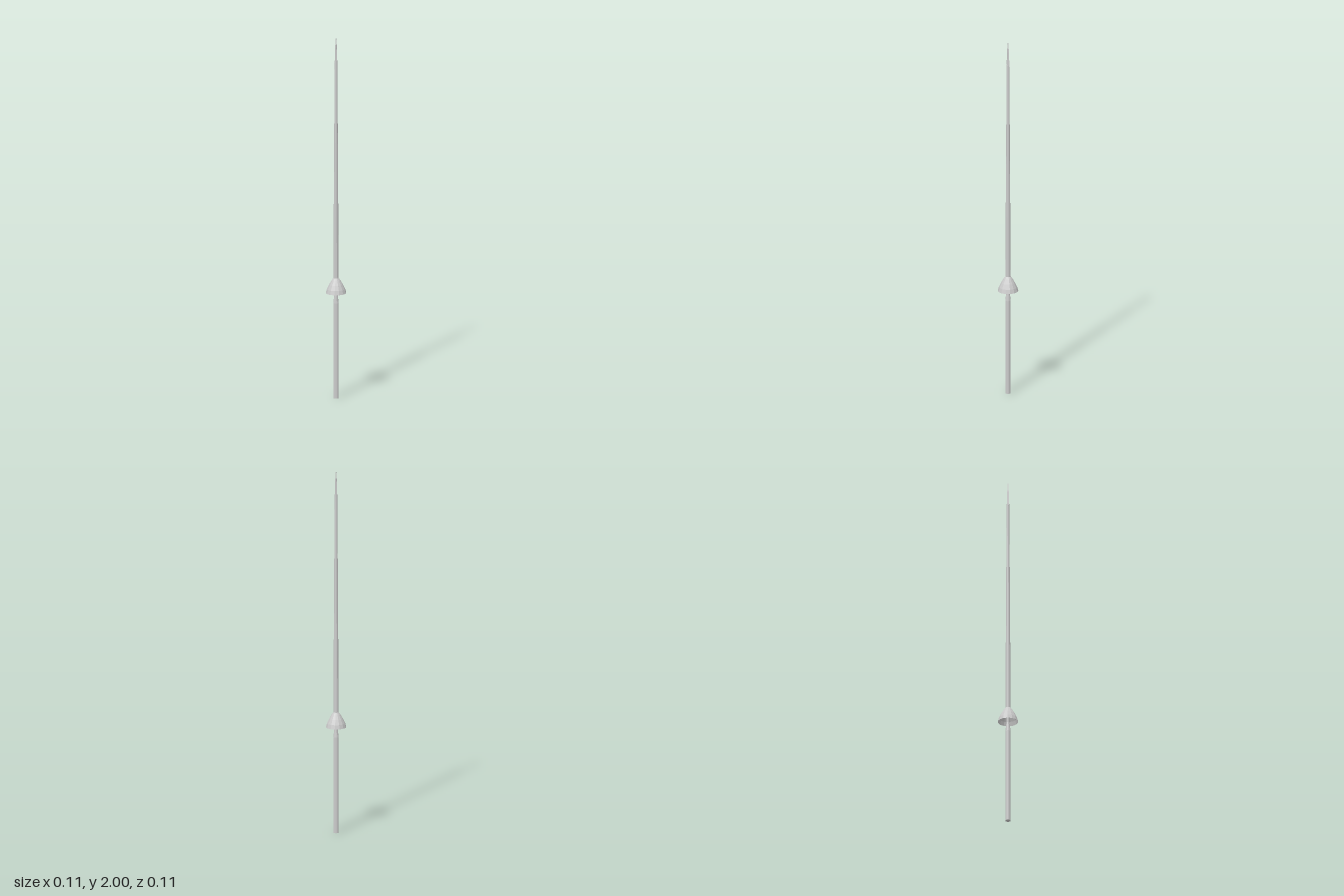
import * as THREE from 'three';

const material = new THREE.MeshStandardMaterial({ color: 0xcccccc, flatShading: true, side: THREE.DoubleSide });

// Turned part from [radius, height] pairs
function turned(name, profile, sides) {
  const points = profile.map(([r, y]) => new THREE.Vector2(r, y));
  const mesh = new THREE.Mesh(new THREE.LatheGeometry(points, sides), material);
  mesh.name = name;
  return mesh;
}

export function createModel() {
  const lance = new THREE.Group();
  lance.name = 'lance';

  // Grip, narrowing to a neck that runs up inside the guard
  lance.add(turned('grip', [
    [0, 0], [0.0145, 0], [0.0145, 0.525], [0.0085, 0.575], [0.0085, 0.65],
  ], 14));

  // Hollow bell-shaped hand guard, open below
  lance.add(turned('handGuard', [
    [0.055, 0.58], [0.049, 0.602], [0.037, 0.627], [0.023, 0.65], [0.014, 0.662], [0, 0.662],
  ], 14));

  // Long tapering shaft
  lance.add(turned('shaft', [
    [0.0135, 0.66], [0.0125, 1], [0.0105, 1.3], [0.0075, 1.86], [0, 1.86],
  ], 14));

  // Slim four-sided point, flattened from front to back
  const point = turned('point', [
    [0, 1.84], [0.0095, 1.85], [0.0075, 1.93], [0, 2],
  ], 4);
  point.scale.z = 0.75;
  lance.add(point);

  return lance;
}
